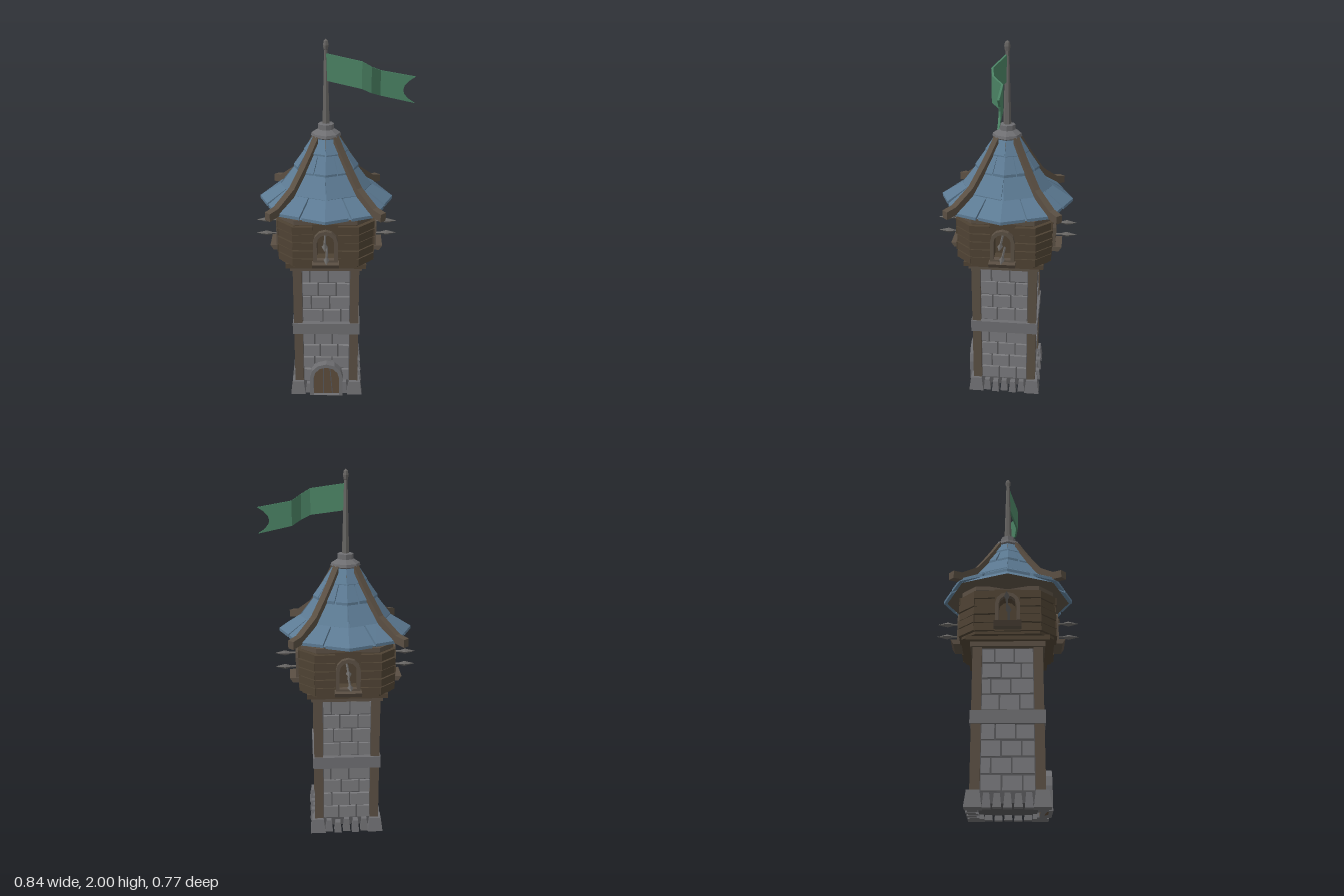
import * as THREE from 'three';

const mat = (name, color) => new THREE.MeshStandardMaterial({ name, color, flatShading: true });

export function createModel() {
  const M = {
    stone: mat('stone grey', 0x79797c),
    mortar: mat('mortar grey', 0x57575a),
    trim: mat('trim stone', 0x6e6e71),
    timber: mat('timber brown', 0x5a4f43),
    plank: mat('plank brown', 0x4e4233),
    door: mat('door brown', 0x5d4c3b),
    roof: mat('slate blue', 0x5c7a93),
    flag: mat('flag green', 0x4a8163),
    metal: mat('metal grey', 0x666462),
  };
  const root = new THREE.Group();
  root.name = 'watchtower';
  const tower = new THREE.Group();
  tower.name = 'tower';
  tower.position.x = -0.034;
  root.add(tower);

  let seed = 7;
  const rnd = () => (seed = (seed * 16807) % 2147483647) / 2147483647;
  const lerp = THREE.MathUtils.lerp;

  const add = (parent, name, geo, material, x = 0, y = 0, z = 0) => {
    const m = new THREE.Mesh(geo, material);
    m.name = name;
    m.position.set(x, y, z);
    parent.add(m);
    return m;
  };
  const box = (p, name, m, w, h, d, x, y, z) => add(p, name, new THREE.BoxGeometry(w, h, d), m, x, y, z);
  // Box whose vertices are moved by fn(u, v, w), each 0..1
  const mapped = (nx, ny, fn) => {
    const g = new THREE.BoxGeometry(1, 1, 1, nx, ny, 1), p = g.attributes.position;
    for (let i = 0; i < p.count; i++) p.setXYZ(i, ...fn(p.getX(i) + 0.5, p.getY(i) + 0.5, p.getZ(i) + 0.5));
    return g;
  };
  // Block with a narrower top
  const block = (w, h, d, t) => mapped(1, 1, (u, v, k) => [(u - 0.5) * (w - t * v), v * h, (k - 0.5) * (d - t * v)]);
  const lathe = (pts, n) => new THREE.LatheGeometry(pts.map(([r, y]) => new THREE.Vector2(r, y)), n);
  const poly = (pts) => new THREE.Shape(pts.map(([x, y]) => new THREE.Vector2(x, y)));
  const extrude = (shape, depth) => new THREE.ExtrudeGeometry(shape, { depth, bevelEnabled: false, curveSegments: 5 });
  const archPoints = (hw, y0, y1) => {
    const pts = [[-hw, y0], [hw, y0]];
    for (let i = 0; i <= 6; i++) {
      const a = (i / 6) * Math.PI;
      pts.push([hw * Math.cos(a), y1 - hw + hw * Math.sin(a)]);
    }
    return pts;
  };
  const withHole = (outer, hole) => {
    const s = poly(outer);
    s.holes.push(poly(hole));
    return s;
  };
  // Horizontal slab from an outline
  const slab = (pts, y0, y1) => extrude(poly(pts), y1 - y0).rotateX(-Math.PI / 2).translate(0, y0, 0);
  const chamfered = (a, b) => [[a, -b], [a, b], [b, a], [-b, a], [-a, b], [-a, -b], [-b, -a], [b, -a]];

  // Four turned groups, one for each side; side 0 faces the front
  const sides = [0, 1, 2, 3].map((k) => {
    const g = new THREE.Group();
    g.name = ['front', 'left', 'back', 'right'][k] + 'Side';
    g.rotation.y = (k * Math.PI) / 2;
    tower.add(g);
    return g;
  });

  // Shaft core and middle band
  box(tower, 'wallCore', M.mortar, 0.32, 0.8, 0.32, 0, 0.425, 0);
  box(tower, 'middleBand', M.trim, 0.374, 0.068, 0.374, 0, 0.438, 0);

  sides.forEach((s, k) => {
    // Corner post and corner foot stone
    box(s, 'cornerPost', M.timber, 0.048, 0.76, 0.048, 0.156, 0.44, 0.156);
    add(s, 'cornerFootStone', block(0.085, 0.082, 0.085, 0.022), M.trim, 0.163, 0, 0.163);
    // Foot stones along the side
    for (let i = 0; i < 5; i++) {
      const x = -0.1 + i * 0.05;
      if (k === 0 && Math.abs(x) < 0.09) continue;
      const proud = i % 2 ? 0.012 : 0;
      add(s, 'footStone', block(0.042, 0.062 + rnd() * 0.014, 0.05, 0.014), M.trim, x, 0, 0.168 + proud);
    }
    // Wall stones in staggered courses
    [0.075, 0.158, 0.241, 0.324, 0.475, 0.558, 0.641, 0.724].forEach((y, row) => {
      const cuts = row % 2 ? [-0.132, -0.075, 0.025, 0.132] : [-0.132, -0.03, 0.07, 0.132];
      const shift = (rnd() - 0.5) * 0.03;
      for (let i = 0; i < 3; i++) {
        const x0 = cuts[i] + (i ? shift : 0), x1 = cuts[i + 1] + (i < 2 ? shift : 0);
        if (k === 0 && y < 0.15 && i === 1) continue;
        const h = 0.076 - rnd() * 0.006;
        box(s, 'wallStone', M.stone, x1 - x0 - 0.008, h, 0.03, (x0 + x1) / 2, y + 0.042, 0.156 + rnd() * 0.006);
      }
    });
  });

  // Door with stone arch
  const door = new THREE.Group();
  door.name = 'door';
  sides[0].add(door);
  add(door, 'doorArch', extrude(withHole(archPoints(0.095, 0, 0.217), archPoints(0.073, 0.001, 0.195)), 0.06), M.trim, 0, 0, 0.155);
  add(door, 'doorLeaf', extrude(poly(archPoints(0.074, 0, 0.196)), 0.04), M.door, 0, 0, 0.155);
  [-0.016, 0.028].forEach((x, i) => {
    box(door, 'doorSeam', M.mortar, 0.005, 0.175, 0.004, x, 0.09, 0.196).rotation.z = i ? 0.08 : 0;
  });

  // Stepped timber collar under the cabin
  box(tower, 'lowerCollar', M.timber, 0.385, 0.03, 0.385, 0, 0.825, 0);
  box(tower, 'upperCollar', M.plank, 0.43, 0.026, 0.43, 0, 0.85, 0);
  add(tower, 'cabinFloor', slab(chamfered(0.238, 0.165), 0.858, 0.88), M.plank);

  // Cabin core, notched behind each window
  const core = [];
  for (let k = 0; k < 4; k++) {
    const c = Math.cos((k * Math.PI) / 2), n = Math.sin((k * Math.PI) / 2);
    [[0.232, -0.16], [0.232, -0.06], [0.19, -0.06], [0.19, 0.06], [0.232, 0.06], [0.232, 0.16]]
      .forEach(([x, y]) => core.push([x * c - y * n, x * n + y * c]));
  }
  add(tower, 'cabinCore', slab(core, 0.87, 1.13), M.plank);
  add(tower, 'cabinTopTrim', slab(chamfered(0.242, 0.165), 1.105, 1.13), M.timber);

  sides.forEach((s) => {
    // Plank rows beside the window and on the chamfered corner
    for (let r = 0; r < 5; r++) {
      const y = 0.893 + r * 0.046;
      for (const d of [-1, 1])
        box(s, 'cabinPlank', M.plank, 0.108, 0.041, 0.022, d * 0.119, y, 0.24 + rnd() * 0.008).rotation.z = (rnd() - 0.5) * 0.05;
      const corner = box(s, 'cornerPlank', M.plank, 0.116, 0.041, 0.022, 0.204, y, 0.204);
      corner.rotation.y = Math.PI / 4;
      corner.translateZ(rnd() * 0.008 - 0.003);
    }
    // Arched window, frame and sill
    const hole = archPoints(0.045, 0.915, 1.06);
    add(s, 'windowPanel', extrude(withHole([[-0.068, 0.872], [0.068, 0.872], [0.068, 1.11], [-0.068, 1.11]], hole), 0.055), M.plank, 0, 0, 0.19);
    add(s, 'windowFrame', extrude(withHole(archPoints(0.064, 0.895, 1.08), hole), 0.03), M.timber, 0, 0, 0.242);
    add(s, 'windowSill', mapped(1, 1, (u, v, w) => [(u - 0.5) * 0.14, 0.878 + v * 0.026, lerp(0.235, 0.29 + v * 0.016, w)]), M.timber);
    // Two spears reaching out of the window
    [1.024, 0.948].forEach((y, i) => {
      const g = lathe([[0.006, 0.185], [0.006, 0.3], [0.015, 0.33], [0, 0.387]], 4).rotateX(Math.PI / 2);
      add(s, 'spear', g, M.metal, i ? 0.006 : -0.003, y, 0);
    });
  });

  // Eaves and roof core
  add(tower, 'eavesUnderside', new THREE.CylinderGeometry(0.338, 0.245, 0.04, 8), M.timber, 0, 1.133, 0);
  add(tower, 'roofCore', lathe([[0.338, 1.153], [0.215, 1.235], [0.145, 1.345], [0.095, 1.43], [0.06, 1.49]], 8), M.roof);

  // Overlapping shingle rings; alternate rings split at corners or mid-face
  const step = Math.PI / 4;
  const onOct = (R, a) => {
    const b = (((a % step) + step) % step) - step / 2;
    return (R * Math.cos(step / 2)) / Math.cos(b);
  };
  [[0.357, 1.15, 0.21, 1.245], [0.245, 1.222, 0.142, 1.36], [0.172, 1.33, 0.098, 1.44], [0.117, 1.415, 0.065, 1.495]]
    .forEach(([R0, y0, R1, y1], ring) => {
      const mid = ring % 2 === 0;
      for (let i = 0; i < 8; i++) {
        const gapA = 0.012 + rnd() * 0.022, gapB = 0.012 + rnd() * 0.022, lift = rnd() * 0.008;
        add(tower, 'roofShingle', mapped(mid ? 2 : 1, 1, (u, v, w) => {
          const open = 1 - v * 0.9;
          const a = (i - (mid ? 0.5 : 0)) * step + lerp(gapA * open, step - gapB * open, u);
          const r = onOct(lerp(R0, R1, v), a);
          return [r * Math.sin(a), lerp(y0 + lift, y1, v) + w * 0.016, r * Math.cos(a)];
        }), M.roof);
      }
    });

  // Rafters on the four diagonals, flaring at the eaves
  const path = [[0.075, 1.492], [0.115, 1.43], [0.17, 1.352], [0.245, 1.255], [0.355, 1.178], [0.412, 1.166]];
  for (let k = 0; k < 4; k++) {
    const g = mapped(5, 1, (u, v, w) => {
      const [r, y] = path[Math.round(u * 5)];
      return [r, y - 0.018 + v * 0.042, (w - 0.5) * 0.038];
    });
    add(tower, 'rafter', g, M.timber).rotation.y = Math.PI / 4 + (k * Math.PI) / 2;
  }

  // Roof cap, pole and finial
  add(tower, 'capCollar', new THREE.CylinderGeometry(0.07, 0.094, 0.04, 8), M.timber, 0, 1.482, 0);
  add(tower, 'roofCap', lathe([[0, 1.495], [0.06, 1.495], [0.079, 1.51], [0.075, 1.525], [0.042, 1.545], [0.042, 1.572], [0, 1.578]], 8), M.trim);
  add(tower, 'flagPole', lathe([[0.021, 1.57], [0.01, 1.95]], 6), M.metal);
  add(tower, 'finial', lathe([[0, 1.94], [0.012, 1.948], [0.016, 1.97], [0.012, 1.99], [0, 2]], 6), M.metal);

  // Waving swallow-tailed flag: x, z, top, bottom
  const wave = [[0, 0.004, 1.93, 1.795], [0.18, 0.054, 1.9, 1.765], [0.228, 0.045, 1.872, 1.742], [0.276, -0.004, 1.845, 1.718], [0.451, -0.004, 1.814, 1.68]];
  add(tower, 'flag', mapped(4, 6, (u, v, w) => {
    const i = Math.round(u * 4), [x, z, top, bottom] = wave[i];
    const notch = i === 4 ? 0.06 * (1 - (2 * v - 1) ** 2) : 0;
    return [x - notch, lerp(bottom, top, v), z + (w - 0.5) * 0.01];
  }), M.flag);

  return root;
}
